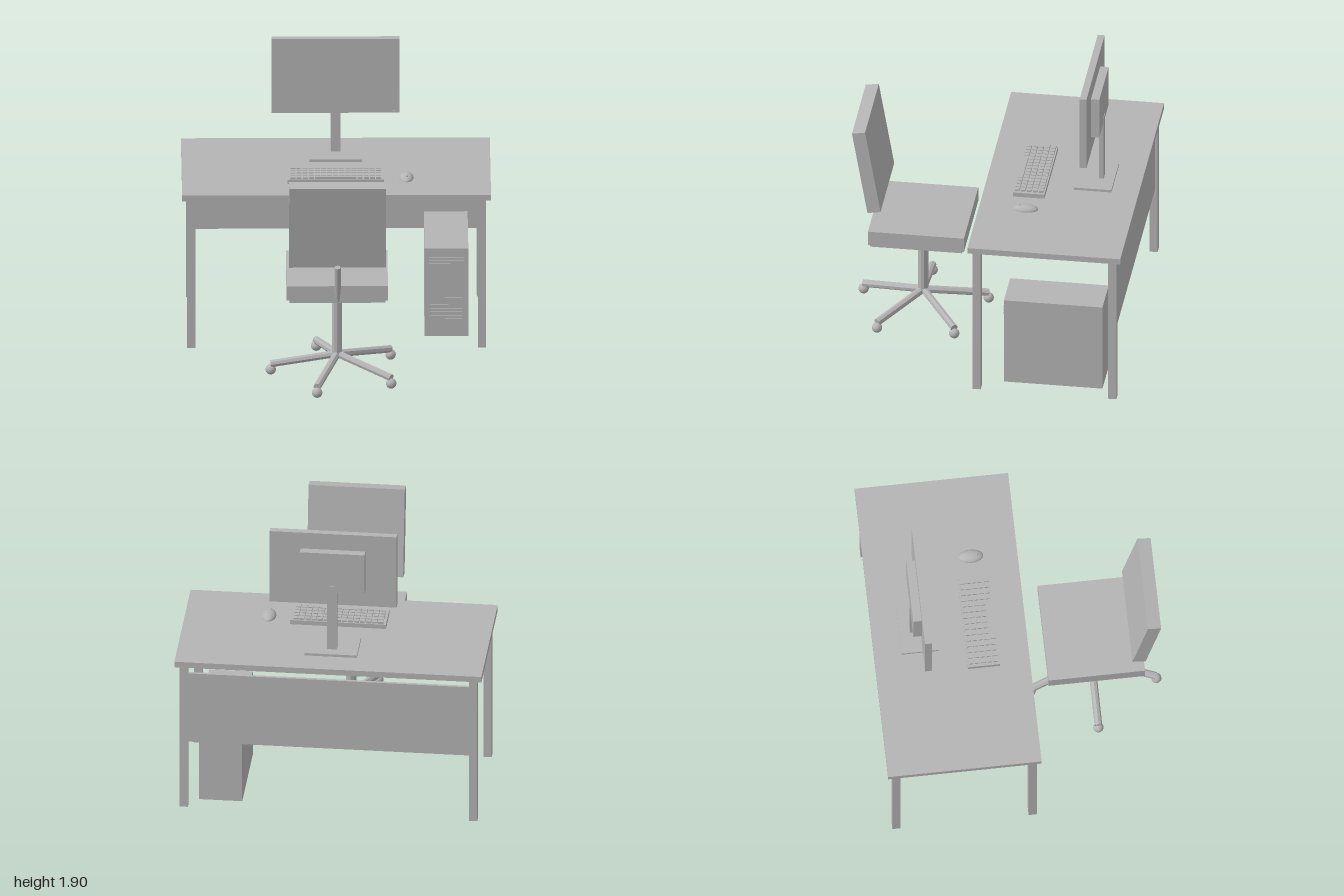
import * as THREE from 'three';

export function createModel() {
  const model = new THREE.Group();
  const grey = new THREE.MeshStandardMaterial({ color: 0xb4b4b4 });
  grey.name = 'plain grey';

  const group = (name) => {
    const g = new THREE.Group();
    g.name = name;
    model.add(g);
    return g;
  };
  const add = (parent, name, geometry) => {
    const mesh = new THREE.Mesh(geometry, grey);
    mesh.name = name;
    parent.add(mesh);
    return mesh;
  };
  // Box given by its extents along each axis
  const box = (parent, name, x0, x1, y0, y1, z0, z1) => {
    const mesh = add(parent, name, new THREE.BoxGeometry(x1 - x0, y1 - y0, z1 - z0));
    mesh.position.set((x0 + x1) / 2, (y0 + y1) / 2, (z0 + z1) / 2);
    return mesh;
  };
  // Faceted rod between two points
  const rod = (parent, name, a, b, radius, sides = 8) => {
    const axis = b.clone().sub(a);
    const geometry = new THREE.CylinderGeometry(radius, radius, axis.length(), sides).toNonIndexed();
    geometry.computeVertexNormals();
    const mesh = add(parent, name, geometry);
    mesh.position.copy(a).add(b).multiplyScalar(0.5);
    mesh.quaternion.setFromUnitVectors(new THREE.Vector3(0, 1, 0), axis.normalize());
    return mesh;
  };
  const vec = (x, y, z) => new THREE.Vector3(x, y, z);

  // Desk
  const desk = group('desk');
  box(desk, 'deskTop', -1, 1, 1.035, 1.075, -0.937, 0.063);
  for (const x of [-0.942, 0.942]) {
    for (const z of [0.008, -0.88]) {
      box(desk, 'deskLeg', x - 0.027, x + 0.027, 0, 1.035, z - 0.027, z + 0.027);
    }
  }
  box(desk, 'modestyPanel', -0.915, 0.915, 0.47, 0.97, -0.89, -0.87);

  // Monitor on its stand
  const monitor = group('monitor');
  box(monitor, 'screen', -0.415, 0.412, 1.39, 1.905, -0.632, -0.587);
  box(monitor, 'rearHousing', -0.212, 0.21, 1.505, 1.79, -0.687, -0.632);
  box(monitor, 'standPost', -0.032, 0.032, 1.09, 1.55, -0.69, -0.658);
  box(monitor, 'standBase', -0.17, 0.17, 1.075, 1.092, -0.76, -0.517);
  box(monitor, 'powerButton', 0.368, 0.384, 1.398, 1.408, -0.587, -0.582);

  // Keyboard with five rows of keys; the front row holds the space bar
  const keyboard = group('keyboard');
  box(keyboard, 'keyboardBase', -0.315, 0.31, 1.075, 1.105, -0.342, -0.135);
  const pitch = 0.0395;
  for (let row = 0; row < 5; row++) {
    const z = -0.318 + row * 0.0395;
    for (let col = 0; col < 15; col++) {
      const x = -0.28 + col * pitch;
      const space = row === 4 && col === 4;
      if (row === 4 && col > 4 && col < 11) continue;
      const x1 = space ? x + 6 * pitch + 0.016 : x + 0.016;
      box(keyboard, space ? 'spaceBar' : 'key', x - 0.016, x1, 1.105, 1.118, z - 0.015, z + 0.015);
    }
  }

  // Mouse: half an ellipsoid with a small wheel
  const mouse = group('mouse');
  const shell = new THREE.SphereGeometry(1, 24, 10, 0, Math.PI * 2, 0, Math.PI / 2);
  shell.scale(0.045, 0.031, 0.081);
  add(mouse, 'mouseShell', shell).position.set(0.455, 1.075, -0.24);
  const wheel = add(mouse, 'scrollWheel', new THREE.SphereGeometry(0.01, 10, 8));
  wheel.position.set(0.455, 1.1, -0.2);

  // Computer tower, with raised bays, button and vent slats on its front
  const tower = group('computerTower');
  box(tower, 'towerCase', 0.572, 0.855, 0.004, 0.615, -0.8, -0.155);
  for (const y of [0.55, 0.528, 0.505]) {
    box(tower, 'driveBay', 0.6, 0.827, y - 0.005, y + 0.005, -0.155, -0.149);
  }
  box(tower, 'towerButton', 0.755, 0.785, 0.415, 0.448, -0.155, -0.148);
  for (let i = 0; i < 7; i++) {
    const y = 0.12 + i * 0.025;
    box(tower, 'ventSlat', 0.61, 0.817, y - 0.004, y + 0.004, -0.155, -0.149);
  }

  // Chair seat, tilted back and its bar
  const chair = group('chair');
  box(chair, 'seatCushion', -0.33, 0.327, 0.64, 0.74, 0.182, 0.81);
  box(chair, 'seatPlate', -0.312, 0.312, 0.62, 0.64, 0.197, 0.8);
  const back = add(chair, 'backrest', new THREE.BoxGeometry(0.627, 0.598, 0.087));
  back.position.set(0, 1.174, 0.823);
  back.rotation.x = 0.17;
  rod(chair, 'backrestBar', vec(0, 0.635, 0.79), vec(0, 0.888, 0.853), 0.021);

  // Chair column and five-armed base on castors
  rod(chair, 'column', vec(0, 0.13, 0.495), vec(0, 0.62, 0.495), 0.034, 10);
  for (let i = 0; i < 5; i++) {
    const angle = Math.PI + (i * Math.PI * 2) / 5;
    const tip = vec(0.43 * Math.cos(angle), 0.075, 0.495 + 0.43 * Math.sin(angle));
    rod(chair, 'baseArm', vec(0, 0.145, 0.495), tip, 0.025);
    const castor = add(chair, 'castor', new THREE.SphereGeometry(0.034, 16, 12));
    castor.position.set(tip.x, 0.036, tip.z);
  }
  return model;
}
